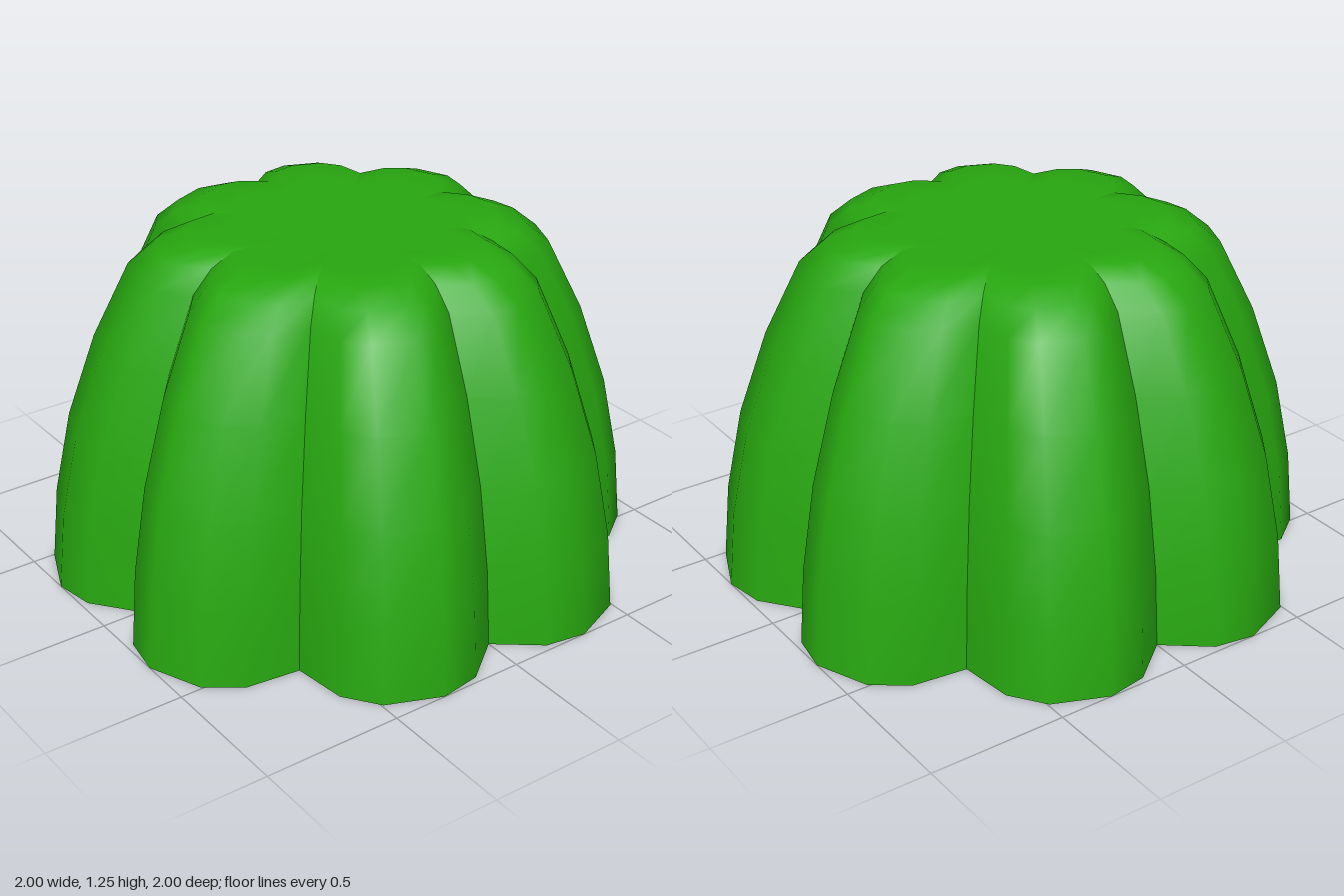
import * as THREE from 'three';

const LOBES = 8;
const STEP = (Math.PI * 2) / LOBES;

// One lobe's cross-section: [angle in degrees, radius] from groove to groove
const SECTION = [[0, 0.855], [9, 0.988], [16.8, 1.0446], [28.2, 1.0446], [36, 0.988], [45, 0.855]];

// Side profile: [height, scale of the cross-section]
const PROFILE = [
  [0, 1], [0.28, 0.975], [0.58, 0.916], [0.88, 0.817],
  [1.14, 0.695], [1.215, 0.61], [1.255, 0.51], [1.25, 0.38], [1.25, 0],
];

function sectionPoint([deg, r], turn) {
  const a = THREE.MathUtils.degToRad(deg) + turn;
  return [r * Math.sin(a), r * Math.cos(a)];
}

// Lobe skin from the rim up and over to the centre of the top
function lobeGeometry() {
  const positions = [];
  const index = [];
  const n = SECTION.length;
  PROFILE.forEach(([y, s], i) => {
    SECTION.forEach((p, j) => {
      const [x, z] = sectionPoint(p, 0);
      positions.push(x * s, y, z * s);
      if (i === PROFILE.length - 1 || j === n - 1) return;
      const a = i * n + j;
      index.push(a, a + 1, a + n + 1);
      if (i < PROFILE.length - 2) index.push(a, a + n + 1, a + n);
      else index[index.length - 1] = a + n;
    });
  });
  const geometry = new THREE.BufferGeometry();
  geometry.setAttribute('position', new THREE.Float32BufferAttribute(positions, 3));
  geometry.setIndex(index);
  geometry.computeVertexNormals();
  return geometry;
}

export function createModel() {
  const model = new THREE.Group();
  model.name = 'flutedDome';
  const green = new THREE.MeshStandardMaterial({ color: 0x28a810 });

  // Eight rounded lobes, separate so the grooves stay sharp
  const lobe = lobeGeometry();
  const outline = [];
  for (let k = 0; k < LOBES; k++) {
    const mesh = new THREE.Mesh(lobe, green);
    mesh.name = 'lobe' + (k + 1);
    mesh.rotation.y = k * STEP;
    model.add(mesh);
    for (const p of SECTION.slice(0, -1)) {
      outline.push(new THREE.Vector2(...sectionPoint(p, k * STEP)));
    }
  }

  // Flat underside
  const base = new THREE.Mesh(new THREE.ShapeGeometry(new THREE.Shape(outline)).rotateX(Math.PI / 2), green);
  base.name = 'underside';
  model.add(base);

  return model;
}
